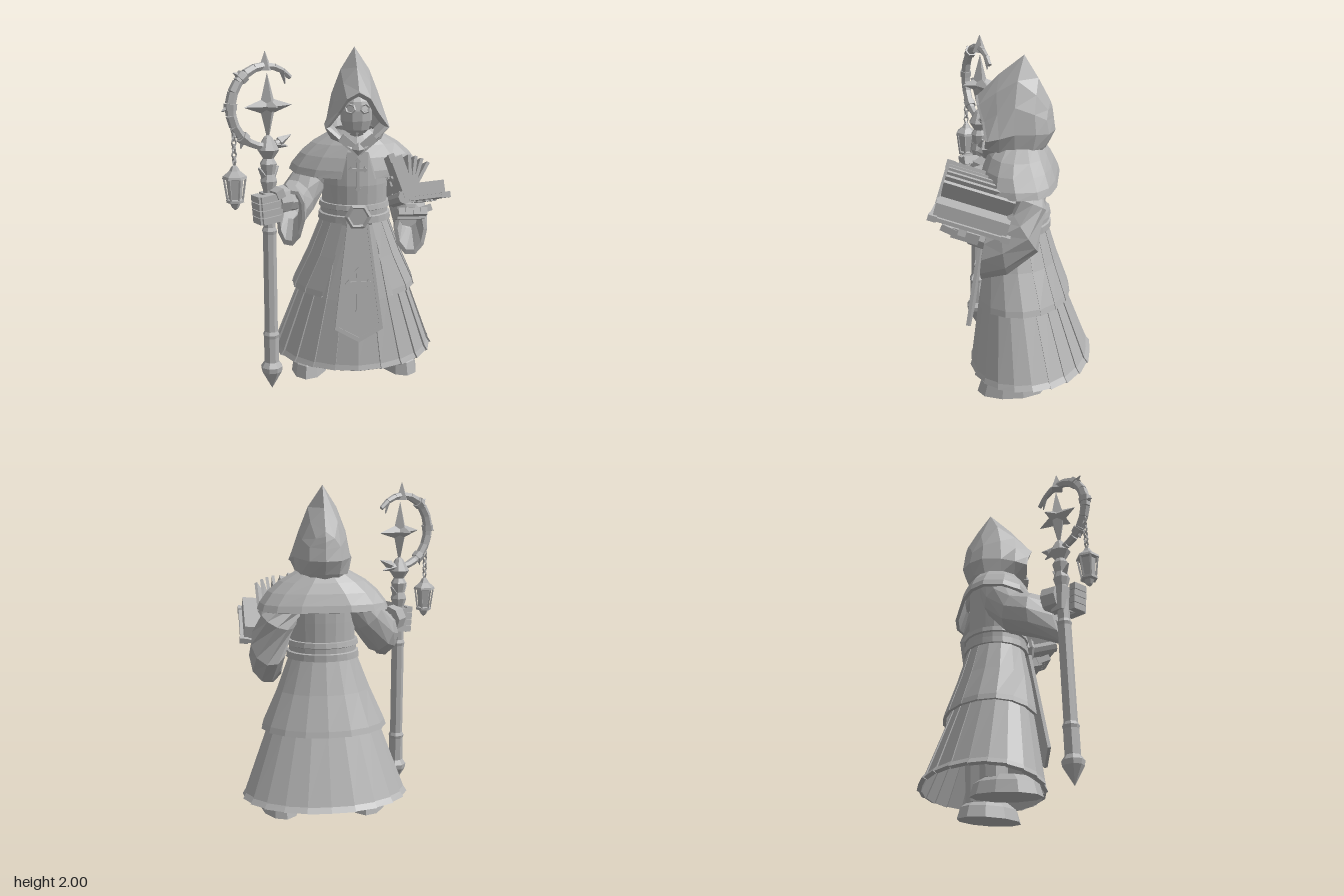
import * as THREE from 'three';

const stone = new THREE.MeshStandardMaterial({ color: 0xb2b2b2, flatShading: true, side: THREE.DoubleSide });
stone.name = 'stoneGrey';
const V = (x, y, z) => new THREE.Vector3(x, y, z);

function mesh(parent, name, geo, pos = [0, 0, 0], rot = [0, 0, 0], scl = [1, 1, 1]) {
  const m = new THREE.Mesh(geo, stone);
  m.name = name;
  m.position.set(...pos); m.rotation.set(...rot); m.scale.set(...scl);
  parent.add(m);
  return m;
}
function group(parent, name, pos = [0, 0, 0], rot = [0, 0, 0]) {
  const g = new THREE.Group();
  g.name = name; g.position.set(...pos); g.rotation.set(...rot);
  parent.add(g);
  return g;
}
const box = (x, y, z) => new THREE.BoxGeometry(x, y, z);
const cyl = (a, b, h, n = 6) => new THREE.CylinderGeometry(a, b, h, n);

// Skin between rings that have equal point counts
function loft(rings) {
  const n = rings[0].length, pos = [], idx = [];
  rings.forEach(r => r.forEach(p => pos.push(p.x, p.y, p.z)));
  for (let i = 0; i < rings.length - 1; i++) for (let j = 0; j < n - 1; j++) {
    const a = i * n + j, b = a + n;
    idx.push(a, b, a + 1, a + 1, b, b + 1);
  }
  const g = new THREE.BufferGeometry();
  g.setAttribute('position', new THREE.Float32BufferAttribute(pos, 3));
  g.setIndex(idx);
  const flat = g.toNonIndexed();
  flat.computeVertexNormals();
  return flat;
}
// Horizontal garment ring: gap = half opening at the front, pleat = step depth (mirrored),
// dip = drop of the front edge, square = exponent that flattens the back
function hoop(y, rx, zf, zb, { gap = 0, panels = 20, pleat = 0, dip = 0, square = 1 } = {}) {
  const pts = [], cz = (zf + zb) / 2, rz = (zf - zb) / 2;
  for (let i = 0; i < panels; i++) for (const e of [0, 1]) {
    const a = gap + (Math.PI * 2 - 2 * gap) * (i + e) / panels;
    const k = 1 - pleat * (i < panels / 2 ? e : 1 - e), s = Math.sin(a), c = Math.cos(a), q = c < 0 ? square : 1;
    pts.push(V(rx * k * Math.sign(s) * Math.abs(s) ** q, y - dip * Math.max(0, c), cz + rz * k * Math.sign(c) * Math.abs(c) ** q));
  }
  return pts;
}
// Sleeve ring: centre, direction, half width, half height
function cuff(c, d, w, h) {
  const dir = V(...d).normalize(), u = dir.clone().cross(V(0, 1, 0)).normalize(), v = u.clone().cross(dir);
  return Array.from({ length: 11 }, (_, i) => {
    const a = i / 10 * Math.PI * 2;
    return V(...c).addScaledVector(u, w * Math.cos(a)).addScaledVector(v, h * Math.sin(a));
  });
}
function rod(parent, name, a, b, r1, r2, n = 6) {
  const A = V(...a), B = V(...b), m = mesh(parent, name, cyl(r2, r1, A.distanceTo(B), n));
  m.position.copy(A).lerp(B, 0.5);
  m.quaternion.setFromUnitVectors(V(0, 1, 0), B.sub(A).normalize());
}
// Flat plate from the right half of a symmetric outline
function outline(half, k = 1) {
  const pts = [...half, ...half.slice().reverse().filter(p => p[0] > 0).map(p => [-p[0], p[1]])];
  return pts.map(p => new THREE.Vector2(p[0] * k, p[1] * k));
}
const plate = (shape, depth) => new THREE.ExtrudeGeometry(shape, { depth, bevelEnabled: false });
const crossHalf = [[0, .5], [.08, .42], [.045, .37], [.045, .2], [.17, .2], [.2, .25], [.28, .16], [.2, .07], [.17, .12],
  [.045, .12], [.045, -.37], [.08, -.42], [0, -.5]];
const cross = h => plate(new THREE.Shape(outline(crossHalf, h)), .022);

function buildRobe(g) {
  // Pleated skirt with a turned hem
  const s = { panels: 22, pleat: .025, dip: .05 };
  mesh(g, 'skirt', loft([hoop(1.0, .19, .165, -.165, s), hoop(.55, .345, .235, -.29, s), hoop(.16, .49, .285, -.44, s),
    hoop(.13, .51, .295, -.465, s), hoop(.12, .485, .275, -.44, s), hoop(.5, .33, .215, -.27, s)]));
  // Overskirt open at the front
  const o = gap => ({ panels: 14, pleat: .015, gap, dip: .025 });
  mesh(g, 'overskirt', loft([hoop(1.0, .2, .18, -.18, o(.45)), hoop(.78, .285, .22, -.245, o(.52)), hoop(.58, .375, .25, -.315, o(.6)),
    hoop(.545, .385, .255, -.325, o(.6)), hoop(.545, .365, .235, -.305, o(.6)), hoop(.8, .26, .2, -.22, o(.52))]));
  mesh(g, 'torso', loft([hoop(.98, .195, .17, -.165), hoop(1.2, .2, .18, -.17), hoop(1.4, .2, .16, -.17), hoop(1.52, .1, .1, -.1)]));
  // Belt and buckle
  mesh(g, 'belt', loft([hoop(.975, .2, .18, -.18), hoop(.975, .222, .2, -.2), hoop(1.015, .218, .2, -.2), hoop(1.02, .205, .19, -.19),
    hoop(1.05, .205, .19, -.19), hoop(1.055, .218, .2, -.2), hoop(1.085, .212, .195, -.195), hoop(1.085, .19, .17, -.17)]));
  mesh(g, 'buckleRim', new THREE.TorusGeometry(.066, .016, 4, 6), [0, 1.025, .215]);
  mesh(g, 'bucklePlate', cyl(.055, .06, .03), [0, 1.025, .205], [Math.PI / 2, Math.PI / 6, 0]);
  // Tabard with raised border and cross
  const t = group(g, 'tabard', [0, .27, .294], [-.145, 0, 0]);
  const half = [[.065, .71], [.145, .08], [0, 0]], inner = [[.053, .7], [.122, .095], [0, .027]];
  mesh(t, 'tabardCloth', plate(new THREE.Shape(outline(half)), .012));
  const border = new THREE.Shape(outline(half));
  border.holes.push(new THREE.Path(outline(inner)));
  mesh(t, 'tabardBorder', plate(border, .02));
  mesh(t, 'tabardCross', cross(.29), [0, .31, .008]);
  mesh(g, 'chestCross', cross(.2), [0, 1.27, .175]);
  // Shoulder cape with a thick edge
  const c = (gap, square, dip) => ({ panels: 13, gap, square, dip });
  mesh(g, 'cape', loft([hoop(1.52, .12, .11, -.13, c(.3, 1, 0)), hoop(1.44, .26, .165, -.18, c(.2, .85, 0)), hoop(1.38, .33, .195, -.21, c(.22, .72, .01)),
    hoop(1.315, .38, .215, -.235, c(.25, .65, .02)), hoop(1.275, .395, .22, -.245, c(.27, .65, .025)), hoop(1.27, .375, .2, -.225, c(.27, .65, .025)),
    hoop(1.38, .3, .18, -.19, c(.22, .72, .01))]));
}

function buildHood(g) {
  const arch = half => [...half.slice(1).reverse().map(p => V(-p[0], p[1], p[2])), ...half.map(p => V(...p))];
  const rim = [[0, 1.765, .225], [.07, 1.725, .21], [.12, 1.64, .175], [.19, 1.545, .15], [.1, 1.465, .165], [.04, 1.42, .185]];
  const inset = (k, dz) => rim.map(p => [p[0] * k, 1.58 + (p[1] - 1.58) * k, p[2] + dz]);
  mesh(g, 'hood', loft([
    inset(.78, -.14), inset(.85, 0), inset(.97, .014), rim,
    [[0, 1.89, .1], [.08, 1.8, .11], [.135, 1.69, .1], [.19, 1.56, .085], [.15, 1.47, .09], [.1, 1.44, .1]],
    [[0, 2.0, -.04], [.085, 1.87, -.01], [.14, 1.73, 0], [.17, 1.58, 0], [.16, 1.48, 0], [.14, 1.44, 0]],
    [[0, 1.87, -.12], [.08, 1.79, -.115], [.13, 1.69, -.11], [.15, 1.58, -.12], [.14, 1.48, -.1], [.13, 1.44, -.08]],
    [[0, 1.74, -.19], [.055, 1.7, -.18], [.09, 1.65, -.175], [.095, 1.57, -.19], [.085, 1.49, -.16], [.08, 1.44, -.13]],
    [[0, 1.71, -.2], [0, 1.68, -.205], [0, 1.64, -.21], [0, 1.57, -.22], [0, 1.49, -.18], [0, 1.44, -.15]]
  ].map(arch)));
  // Mask, eye rims and muzzle
  mesh(g, 'mask', new THREE.SphereGeometry(.1, 10, 7), [0, 1.61, .085], [0, 0, 0], [.95, 1.35, .72]);
  mesh(g, 'muzzle', new THREE.ConeGeometry(.055, .15, 5), [0, 1.555, .125], [Math.PI, 0, 0], [1, 1, .6]);
  for (const s of [-1, 1]) {
    mesh(g, 'eyeRim', new THREE.TorusGeometry(.026, .007, 4, 6), [s * .043, 1.655, .15], [-.25, s * .4, s * .3], [1.15, 1, 1]);
    mesh(g, 'collarFold', box(.13, .05, .03), [s * .05, 1.45, .175], [0, 0, s * .7]);
    mesh(g, 'boot', cyl(.1, .112, .075, 10), [s * .278, .0375, .01], [0, s * .18, 0], [1, 1, 1.85]);
    mesh(g, 'bootTop', cyl(.07, .1, .04, 10), [s * .278, .095, .01], [0, s * .18, 0], [1, 1, 1.85]);
    mesh(g, 'leg', cyl(.09, .08, .4, 8), [s * .26, .3, -.06]);
  }
  mesh(g, 'collarClasp', new THREE.OctahedronGeometry(.04), [0, 1.425, .195]);
}

function buildArms(g) {
  mesh(g, 'rightSleeve', loft([cuff([-.03, 1.36, -.03], [-.7, -.7, .1], .11, .11), cuff([-.13, 1.22, -.02], [-.6, -.75, .3], .11, .11),
    cuff([-.21, 1.11, .04], [-.6, -.35, .7], .115, .125), cuff([-.26, 1.08, .16], [-.6, 0, .75], .115, .14), cuff([-.265, 1.05, .31], [-.62, .2, .75], .1, .165),
    cuff([-.265, 1.055, .312], [-.62, .2, .75], .078, .14), cuff([-.26, 1.09, .18], [-.6, 0, .75], .06, .08)]));
  rod(g, 'rightForearm', [-.24, 1.13, .18], [-.38, 1.14, .32], .065, .055, 8);
  rod(g, 'rightBracer', [-.31, 1.145, .225], [-.37, 1.15, .29], .085, .08, 8);
  // Fist around the staff
  const f = group(g, 'rightFist', [-.395, 1.13, .335], [0, .5, .08]);
  mesh(f, 'palm', box(.09, .15, .1), [.03, 0, -.02]);
  for (let i = 0; i < 4; i++) {
    const y = .06 - i * .042;
    mesh(f, 'finger', box(.12, .038, .05), [-.015, y, .045]);
    mesh(f, 'knuckle', box(.045, .038, .09), [-.065, y, .01]);
  }
  mesh(f, 'thumb', box(.05, .05, .1), [.045, .075, .03], [0, 0, .3]);

  mesh(g, 'leftSleeve', loft([cuff([.3, 1.36, -.04], [.7, -.7, .1], .11, .11), cuff([.41, 1.22, -.085], [.4, -.85, .3], .11, .11),
    cuff([.465, 1.07, -.075], [.2, -.5, .8], .11, .14), cuff([.475, .98, .04], [0, -.1, 1], .105, .17), cuff([.46, .925, .15], [-.15, .15, 1], .1, .16),
    cuff([.46, .93, .155], [-.15, .15, 1], .078, .135), cuff([.47, .98, .05], [0, -.1, 1], .05, .08)]));
  rod(g, 'leftForearm', [.46, .98, .06], [.43, 1.02, .24], .06, .055, 8);
  const h = group(g, 'leftHand', [.43, 1.045, .26], [-.28, 0, 0]);
  mesh(h, 'palm', box(.16, .06, .16));
  for (let i = 0; i < 4; i++) mesh(h, 'finger', box(.04, .04, .09), [-.063 + i * .042, .008, .1], [-.15, 0, 0]);
  mesh(h, 'thumb', box(.1, .04, .045), [.08, .025, .02], [0, 0, .3]);
}

function buildBook(g) {
  const b = group(g, 'book', [.395, 1.13, .225], [-.28, 0, 0]);
  mesh(b, 'spine', cyl(.04, .04, .45, 8), [-.02, 0, 0], [Math.PI / 2, 0, 0]);
  // Each half: cover, page block and metal corners; s picks the page side
  for (const [angle, s, w, t] of [[.1, 1, .235, .075], [1.9, -1, .26, .05]]) {
    const half = group(b, 'bookHalf', [0, 0, 0], [0, 0, angle]);
    mesh(half, 'cover', box(w, .022, .46), [w / 2, -s * .012, 0]);
    mesh(half, 'pages', box(w - .025, t, .42), [w / 2 - .008, s * t / 2, 0]);
    for (const z of [-1, 1]) {
      mesh(half, 'coverCorner', box(.05, .034, .05), [w - .022, -s * .012, z * .208]);
      mesh(half, 'spineBand', box(.06, .03, .03), [.02, -s * .015, z * .14]);
    }
    mesh(half, 'coverCross', cross(.2), [w / 2, -s * .012, 0], [s * Math.PI / 2, 0, 0]);
  }
  [1.6, 1.42, 1.25, 1.05].forEach((a, i) => {
    const leaf = group(b, 'loosePages', [.02, .02, 0], [0, 0, a]);
    mesh(leaf, 'page', box(.225 - i * .012, .018, .41), [.11, 0, 0]);
  });
}

function buildStaff(g) {
  const s = group(g, 'staff', [-.39, 0, .335], [-.03, .52, 0]);
  // Pole with ferrules and knots as one turned profile
  const profile = [[0, .01], [.062, .12], [.066, .15], [.045, .18], [.045, .33], [.05, .35], [.04, .37], [.04, .96], [.045, .98],
    [.036, 1.0], [.036, 1.22], [.05, 1.27], [.036, 1.31], [.05, 1.37], [.032, 1.4], [.065, 1.45], [.025, 1.52], [0, 1.54]];
  mesh(s, 'pole', new THREE.LatheGeometry(profile.map(p => new THREE.Vector2(...p)), 8));
  for (const k of [-1, 1]) {
    rod(s, 'collarThorn', [0, 1.41, 0], [k * .09, 1.5, 0], .035, .004, 4);
    rod(s, 'knotThorn', [0, 1.26, 0], [k * .065, 1.35, 0], .035, .006, 4);
  }
  // Open crook, thinner at its tips
  const c = group(s, 'crook', [-.012, 1.695, 0]), R = .225, at = (a, r) => [r * Math.cos(a), r * Math.sin(a), 0];
  const N = 16, a0 = .75, a1 = 5.3, step = (a1 - a0) / N;
  const thick = i => .01 + .02 * Math.sin(Math.PI * (.06 + .88 * i / N));
  for (let i = 0; i < N; i++) rod(c, 'crookSegment', at(a0 + i * step, R), at(a0 + (i + 1) * step, R), thick(i), thick(i + 1), 6);
  for (const a of [2.3, 3.1, 4.0]) {
    rod(c, 'crookBand', at(a - .08, R), at(a + .08, R), .038, .036, 6);
    rod(c, 'crookThorn', at(a, R), at(a + .08, R + .055), .025, .003, 4);
  }
  rod(c, 'topSpike', [0, .2, 0], [0, .305, 0], .045, .002, 4);
  rod(c, 'tipBarb', at(1.05, R), [.13, .12, 0], .02, .004, 4);
  rod(c, 'lowerHorn', at(5.1, R), [.165, -.17, 0], .032, .003, 4);
  rod(c, 'lowerBarb', at(4.95, R), [.14, -.235, 0], .028, .004, 4);
  // Six-pointed star, with a fat core
  for (const [x, y, z, l] of [[1, 0, 0, .16], [-1, 0, 0, .15], [0, 1, 0, .185], [0, -1, 0, .2], [0, 0, 1, .11], [0, 0, -1, .11]])
    rod(c, 'starPoint', [.012, 0, 0], [.012 + x * l, y * l, z * l], .052, .001, 4);
  // Hanging lantern on chain links
  const l = group(s, 'lantern', [-.22, 0, 0]);
  for (let i = 0; i < 6; i++)
    mesh(l, 'chainLink', new THREE.TorusGeometry(.018, .007, 4, 6), [0, 1.575 - i * .034, 0], [0, i % 2 * Math.PI / 2, 0], [.75, 1.25, 1]);
  const lamp = [[0, 1.125], [.018, 1.14], [.03, 1.165], [.05, 1.17], [.05, 1.185], [.036, 1.19], [.048, 1.3], [.07, 1.305], [.066, 1.32], [.03, 1.35], [.016, 1.375], [0, 1.385]];
  mesh(l, 'lampBody', new THREE.LatheGeometry(lamp.map(p => new THREE.Vector2(...p)), 6));
  for (let i = 0; i < 6; i++) {
    const a = i * Math.PI / 3, x = Math.sin(a), z = Math.cos(a);
    rod(l, 'lampBar', [x * .042, 1.18, z * .042], [x * .06, 1.305, z * .06], .007, .007, 4);
  }
}

export function createModel() {
  const model = new THREE.Group();
  model.name = 'hoodedPriest';
  const body = group(model, 'body', [.135, 0, 0]);
  buildRobe(body);
  buildHood(body);
  buildArms(model);
  buildBook(model);
  buildStaff(model);
  return model;
}
